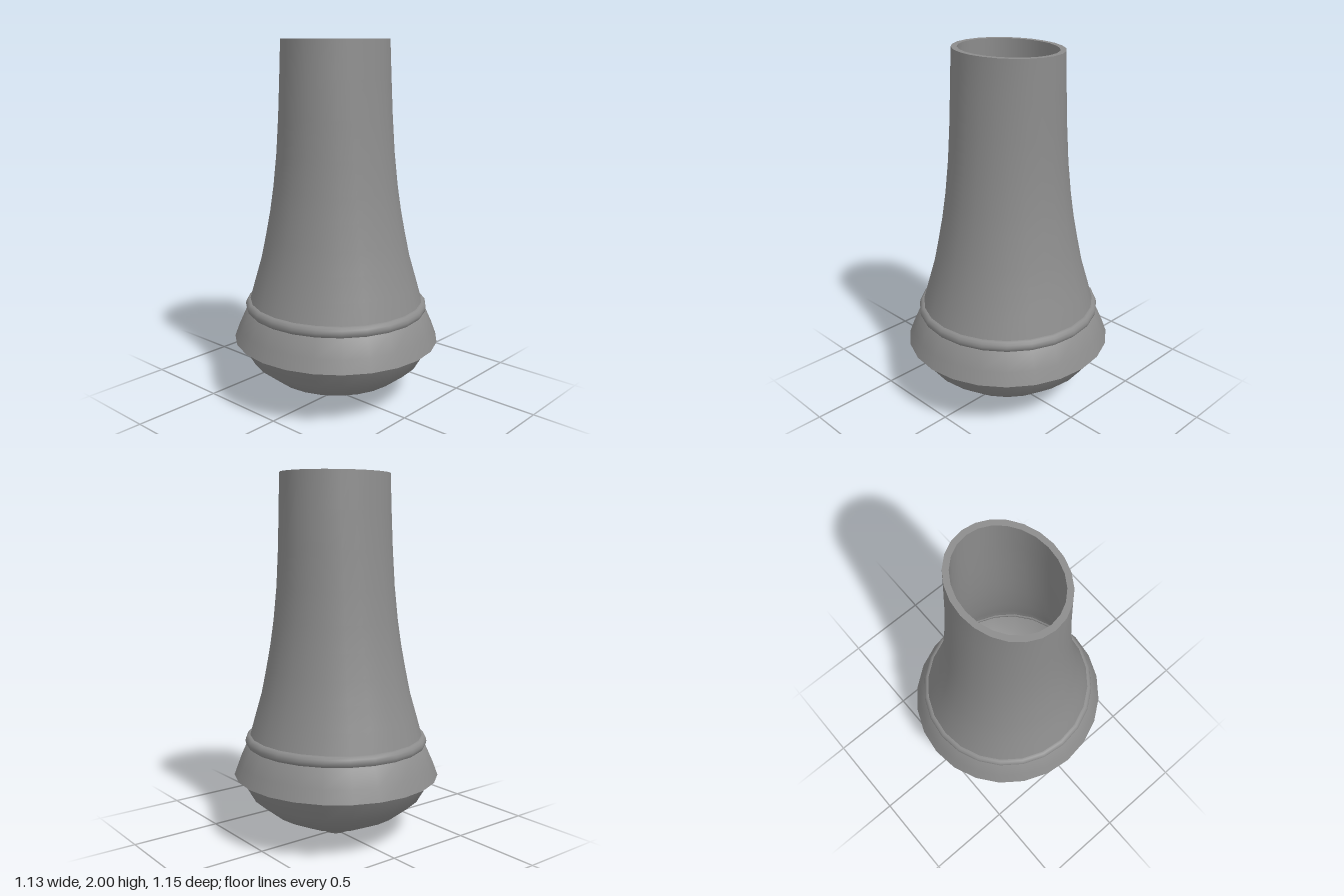
import * as THREE from 'three';

const SEGMENTS = 24;

// Elliptical loft through rings of [radiusX, radiusZ, y]; ascending rings face outward
function loft(rings) {
  const positions = [], indices = [];
  for (const [rx, rz, y] of rings) {
    for (let j = 0; j < SEGMENTS; j++) {
      const a = (j / SEGMENTS) * Math.PI * 2;
      positions.push(Math.sin(a) * rx, y, Math.cos(a) * rz);
    }
  }
  for (let i = 0; i < rings.length - 1; i++) {
    for (let j = 0; j < SEGMENTS; j++) {
      const k = (j + 1) % SEGMENTS;
      const a = i * SEGMENTS + j, b = i * SEGMENTS + k;
      const c = a + SEGMENTS, d = b + SEGMENTS;
      if (rings[i][0] > 0) indices.push(a, b, d);
      if (rings[i + 1][0] > 0) indices.push(a, d, c);
    }
  }
  const geometry = new THREE.BufferGeometry();
  geometry.setAttribute('position', new THREE.Float32BufferAttribute(positions, 3));
  geometry.setIndex(indices);
  geometry.computeVertexNormals();
  return geometry;
}

export function createModel() {
  const group = new THREE.Group();
  const grey = new THREE.MeshStandardMaterial({ color: 0x8c8c8c, side: THREE.DoubleSide });
  grey.name = 'grey';

  const add = (name, rings) => {
    const mesh = new THREE.Mesh(loft(rings), grey);
    mesh.name = name;
    group.add(mesh);
  };

  // Flared sleeve: round at the base, oval at the open top
  const sleeve = [
    [0.475, 0.485, 0.58], [0.445, 0.453, 0.69], [0.408, 0.415, 0.82],
    [0.383, 0.386, 0.95], [0.36, 0.36, 1.08], [0.341, 0.338, 1.22],
    [0.325, 0.316, 1.4], [0.318, 0.297, 1.6], [0.316, 0.281, 1.8], [0.315, 0.266, 2],
  ];
  add('sleeve', sleeve);

  // Wall thickness and the hollow inside
  const inner = sleeve.map(([rx, rz, y]) => [rx - 0.032, rz - 0.03, y]).reverse();
  add('rim', [sleeve[sleeve.length - 1], inner[0]]);
  add('innerWall', [...inner, [0.45, 0.46, 0.52], [0.54, 0.55, 0.357]]);

  // Rounded bead around the base of the sleeve
  const bead = [];
  for (let i = 0; i <= 12; i++) {
    const a = (i / 12) * Math.PI * 2 - Math.PI;
    const out = Math.cos(a) * 0.03;
    bead.push([0.472 + out, 0.481 + out, 0.549 + Math.sin(a) * 0.033]);
  }
  add('bead', bead);

  // Skirt with its thin underside lip
  add('skirt', [[0.565, 0.577, 0.357], [0.538, 0.55, 0.43], [0.498, 0.509, 0.52], [0.465, 0.475, 0.54]]);
  add('skirtLip', [[0.538, 0.548, 0.355], [0.565, 0.577, 0.357]]);

  // Shallow domed end cap
  add('dome', [
    [0.085, 0.085, 0.046], [0.21, 0.213, 0.075], [0.36, 0.366, 0.147],
    [0.47, 0.478, 0.235], [0.538, 0.548, 0.355],
  ]);

  // Small button under the dome
  add('button', [
    [0, 0, 0.004], [0.045, 0.045, 0.004], [0.066, 0.066, 0.008],
    [0.078, 0.078, 0.022], [0.085, 0.085, 0.036], [0.1, 0.1, 0.05],
  ]);

  return group;
}
